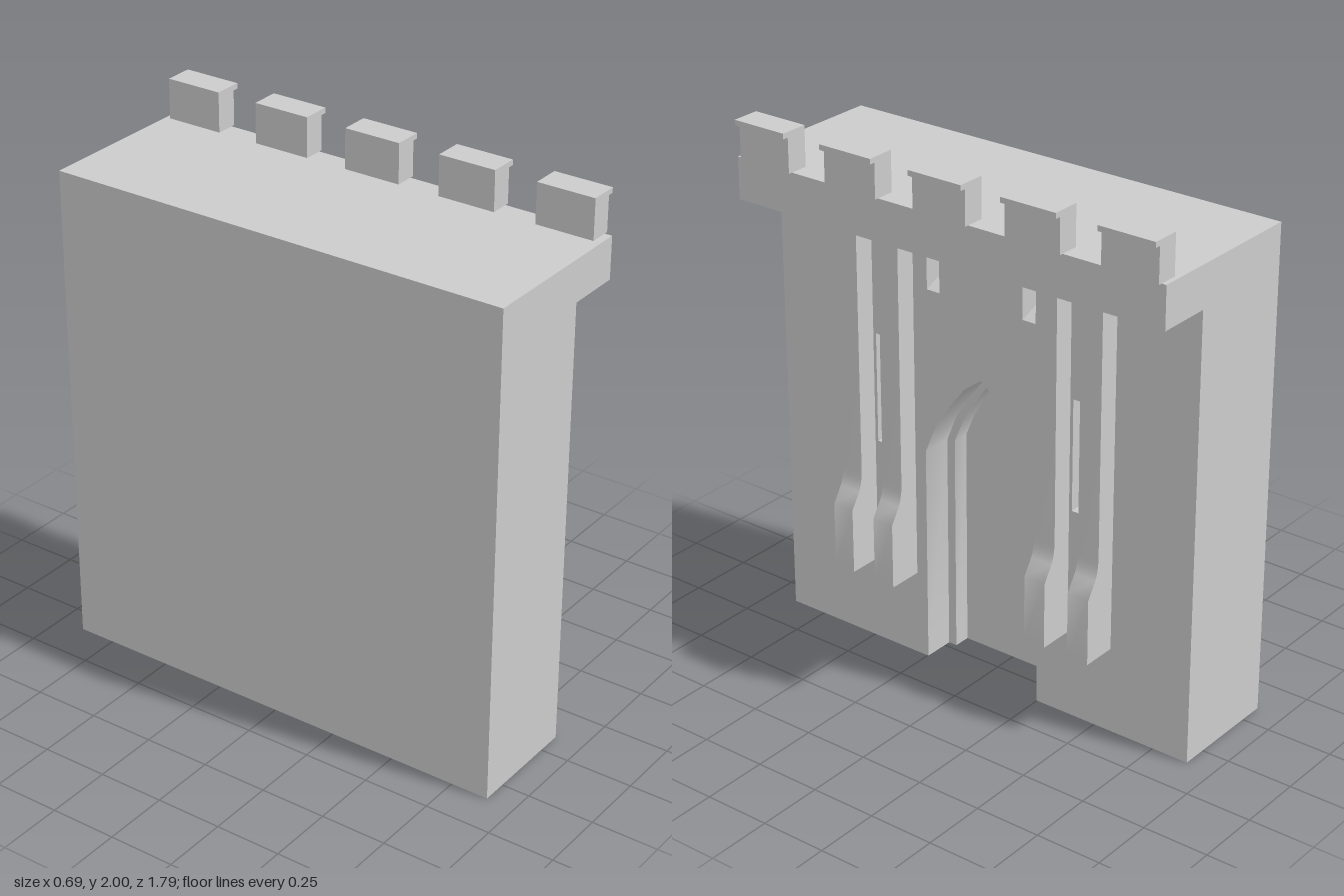
import * as THREE from 'three';
import { toCreasedNormals } from 'three/addons/utils/BufferGeometryUtils.js';

const W = 0.893;                       // half width along z
const BACK = -0.345, WALL = 0.095;     // rear and facade planes
const EAVE = 1.693, ROOF = 1.85;       // underside and top of the cornice
const STEP = 0.12, NICHE = 0.185;      // depths of the two gateway recesses
const mat = new THREE.MeshStandardMaterial({ color: 0xcccccc });

function add(group, name, geometry) {
  const mesh = new THREE.Mesh(geometry, mat);
  mesh.name = name;
  group.add(mesh);
  return mesh;
}

// Box given by its extents
function box(group, name, x0, x1, y0, y1, z0, z1) {
  const g = new THREE.BoxGeometry(x1 - x0, y1 - y0, z1 - z0);
  g.translate((x0 + x1) / 2, (y0 + y1) / 2, (z0 + z1) / 2);
  return add(group, name, g);
}

// Wall outline (across, up) with a pointed gateway cut out of its foot
function wallShape(arch) {
  const left = arch.map(([a, y]) => [-a, y]);
  const right = arch.slice(0, -1).reverse();
  const pts = [[-W, 0], [-arch[0][0], 0], ...left, ...right, [arch[0][0], 0], [W, 0], [W, EAVE], [-W, EAVE]];
  return new THREE.Shape(pts.map(([a, y]) => new THREE.Vector2(a, y)));
}

// Extrude a facade outline between two x planes
function wallLayer(group, name, shape, x0, x1) {
  const g = new THREE.ExtrudeGeometry(shape, { depth: x1 - x0, bevelEnabled: false });
  g.rotateY(Math.PI / 2).translate(x0, 0, 0);
  return add(group, name, toCreasedNormals(g, 0.6));
}

// Splayed window lining: a rectangle narrowing inwards to a closed back
function lining(group, name, outer, inner, depth) {
  const ring = ([z0, z1, y0, y1], x) => [[x, y0, z0], [x, y0, z1], [x, y1, z1], [x, y1, z0]];
  const f = ring(outer, WALL), b = ring(inner, WALL - depth);
  const pos = [];
  const quad = (p, q, r, s) => pos.push(...p, ...q, ...r, ...p, ...r, ...s);
  for (let i = 0; i < 4; i++) {
    const j = (i + 1) % 4;
    quad(f[i], f[j], b[j], b[i]);
  }
  quad(b[3], b[2], b[1], b[0]);
  const g = new THREE.BufferGeometry();
  g.setAttribute('position', new THREE.Float32BufferAttribute(pos, 3));
  g.computeVertexNormals();
  const mesh = add(group, name, g);
  mesh.material = mat.clone();
  mesh.material.side = THREE.DoubleSide;
}

export function createModel() {
  const group = new THREE.Group();
  group.name = 'gatehouse';

  // Gateway outlines: half width and height, from springing to apex
  const outerArch = [[0.247, 0.835], [0.205, 0.938], [0.14, 1.04], [0.07, 1.13], [0, 1.182]];
  const innerArch = [[0.213, 0.84], [0.175, 0.93], [0.12, 1.02], [0.06, 1.103], [0, 1.148]];

  // Windows: extents as z0, z1, y0, y1
  const windows = [];
  for (const s of [-1, 1]) {
    const place = ([a, b, y0, y1]) => (s > 0 ? [a, b, y0, y1] : [-b, -a, y0, y1]);
    windows.push({ name: 'tallWindow', outer: place([0.392, 0.466, 0.81, 1.23]), inner: place([0.403, 0.455, 0.825, 1.215]) });
    windows.push({ name: 'arrowSlit', outer: place([0.178, 0.233, 1.46, 1.63]), inner: place([0.194, 0.219, 1.52, 1.615]) });
  }

  // Wall in three layers, so the gateway steps inwards
  const face = wallShape(outerArch);
  for (const { outer: [z0, z1, y0, y1] } of windows) {
    const hole = new THREE.Path();
    hole.moveTo(-z0, y0).lineTo(-z0, y1).lineTo(-z1, y1).lineTo(-z1, y0).closePath();
    face.holes.push(hole);
  }
  wallLayer(group, 'facade', face, WALL - STEP, WALL);
  wallLayer(group, 'innerGateway', wallShape(innerArch), WALL - NICHE, WALL - STEP);
  box(group, 'rearWall', BACK, WALL - NICHE, 0, EAVE, -W, W);
  for (const w of windows) lining(group, w.name, w.outer, w.inner, 0.1);

  // Overhanging cornice and flat roof
  box(group, 'cornice', BACK, 0.303, EAVE, ROOF, -W, W);

  // Battlements with a projecting lip
  for (let i = -2; i <= 2; i++) {
    const z = -0.005 + i * 0.38;
    const s = new THREE.Shape();
    s.moveTo(0.233, ROOF).lineTo(0.318, ROOF).lineTo(0.318, 1.98).lineTo(0.34, 1.98);
    s.lineTo(0.34, 2).lineTo(0.233, 2).closePath();
    const g = new THREE.ExtrudeGeometry(s, { depth: 0.22, bevelEnabled: false });
    add(group, 'merlon', g.translate(0, 0, z - 0.11));
  }

  // Slender buttresses that swell out towards their feet
  const rib = new THREE.Shape();
  rib.moveTo(WALL, 0.33).lineTo(0.23, 0.33).lineTo(0.23, 0.58).lineTo(0.192, 0.64);
  rib.quadraticCurveTo(0.178, 0.665, 0.175, 0.71);
  rib.lineTo(0.175, EAVE).lineTo(WALL, EAVE).closePath();
  for (const z of [-0.521, -0.337, 0.337, 0.521]) {
    const g = new THREE.ExtrudeGeometry(rib, { depth: 0.086, bevelEnabled: false, curveSegments: 4 });
    add(group, 'buttress', toCreasedNormals(g.translate(0, 0, z - 0.043), 0.7));
  }
  return group;
}
